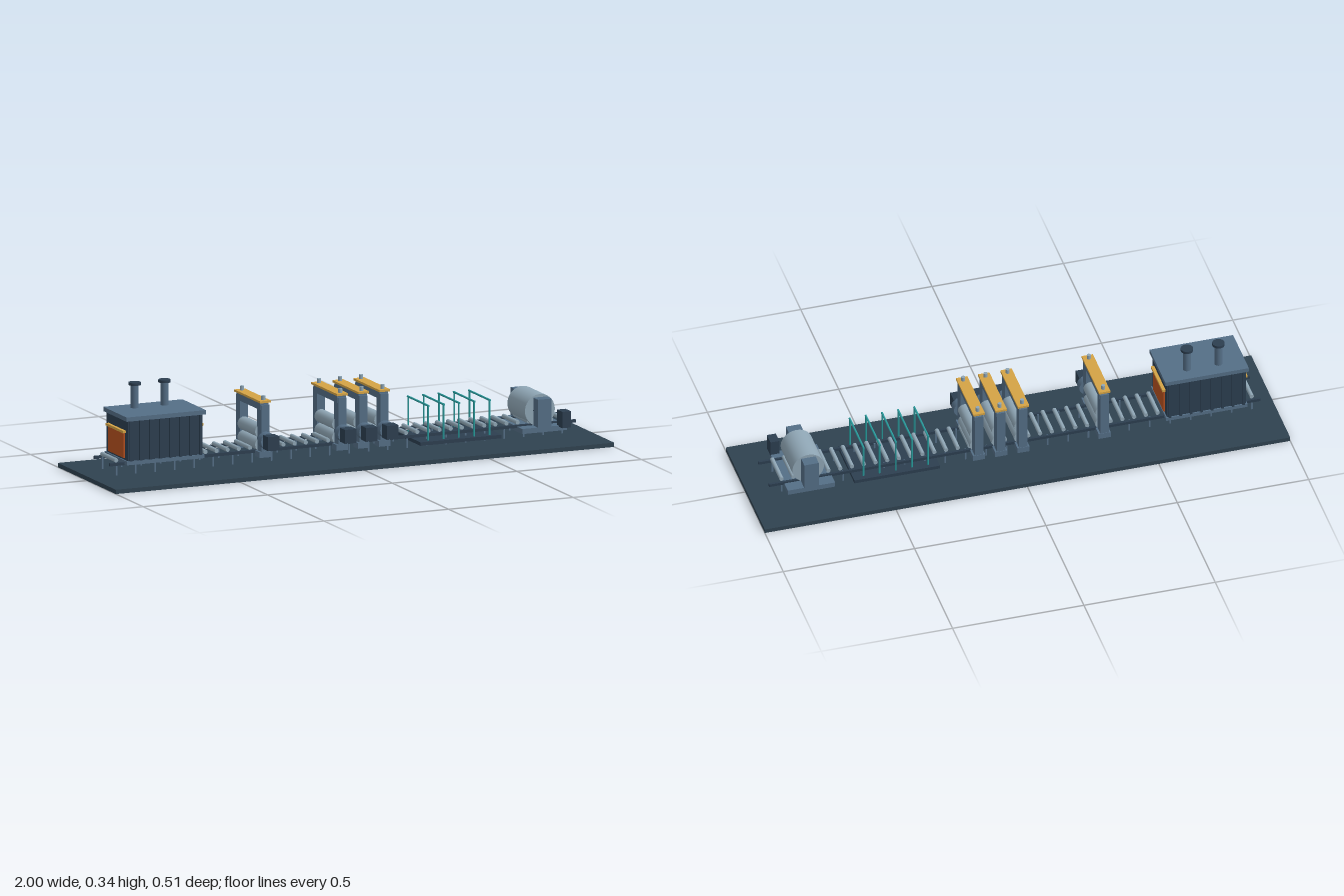
import * as THREE from 'three';

const mat = (color) => new THREE.MeshStandardMaterial({ color });

export function createModel() {
  const root = new THREE.Group();
  root.name = 'rollingMill';
  const dark = mat(0x2c3e50), slate = mat(0x546e86), steel = mat(0x8fa6b5);
  const gold = mat(0xd4a345), orange = mat(0xb5501f), teal = mat(0x2a9d9f), ground = mat(0x2f4250);

  const group = (name, x = 0) => {
    const g = new THREE.Group();
    g.name = name;
    g.position.x = x;
    root.add(g);
    return g;
  };
  // Box given by its centre in x and z and by its lower and upper y
  const box = (parent, name, material, w, d, y0, y1, x = 0, z = 0) => {
    const m = new THREE.Mesh(new THREE.BoxGeometry(w, y1 - y0, d), material);
    m.name = name;
    m.position.set(x, (y0 + y1) / 2, z);
    parent.add(m);
  };
  // Cylinder along 'y' or 'z', placed by its centre
  const cyl = (parent, name, material, r, len, axis, x, y, z, sides = 20) => {
    const g = new THREE.CylinderGeometry(r, r, len, sides);
    if (axis === 'z') g.rotateX(Math.PI / 2);
    const m = new THREE.Mesh(g, material);
    m.name = name;
    m.position.set(x, y, z);
    parent.add(m);
  };

  // Floor slab
  box(root, 'floor', ground, 2, 0.515, 0, 0.016);

  // Roller table: rails, rollers and legs along the whole line
  const table = group('rollerTable');
  for (const s of [-1, 1]) {
    box(table, 'rail', dark, 1.87, 0.009, 0.062, 0.073, -0.005, s * 0.07);
    for (let i = 0; i < 24; i++) {
      box(table, 'leg', slate, 0.006, 0.006, 0.024, 0.07, -0.91 + i * 0.0778, s * 0.062);
    }
  }
  for (let i = 0; i < 41; i++) {
    cyl(table, 'roller', steel, 0.008, 0.126, 'z', -0.91 + i * 0.04475, 0.08, 0, 12);
  }

  // Reheating furnace with ribs, doors at both ends and two chimneys
  const furnace = group('furnace', -0.728);
  box(furnace, 'furnaceBase', slate, 0.31, 0.2, 0.066, 0.08);
  box(furnace, 'furnaceBody', dark, 0.3, 0.19, 0.08, 0.232);
  box(furnace, 'roof', slate, 0.318, 0.208, 0.23, 0.246);
  for (const s of [-1, 1]) {
    for (let i = 0; i < 8; i++) {
      box(furnace, 'rib', dark, 0.009, 0.01, 0.08, 0.23, -0.14 + i * 0.04, s * 0.098);
    }
    box(furnace, 'door', orange, 0.008, 0.14, 0.088, 0.184, s * 0.152);
    box(furnace, 'lintel', gold, 0.014, 0.152, 0.182, 0.191, s * 0.155);
    cyl(furnace, 'chimney', slate, 0.015, 0.095, 'y', s * 0.06, 0.288, -0.045);
    cyl(furnace, 'chimneyCap', dark, 0.023, 0.01, 'y', s * 0.06, 0.336, -0.045);
  }

  // Mill stands: housing posts, crosshead, rolls, screws and drive
  for (const x of [-0.335, -0.026, 0.059, 0.143]) {
    const stand = group('millStand', x);
    for (const s of [-1, 1]) {
      box(stand, 'post', slate, 0.032, 0.037, 0.052, 0.246, 0, s * 0.095);
      box(stand, 'foot', slate, 0.046, 0.04, 0.05, 0.072, 0, s * 0.095);
      cyl(stand, 'screw', steel, 0.0075, 0.02, 'y', 0, 0.268, s * 0.095, 12);
    }
    box(stand, 'crosshead', slate, 0.034, 0.212, 0.227, 0.254);
    box(stand, 'cap', gold, 0.043, 0.231, 0.254, 0.262);
    for (const y of [0.092, 0.142]) {
      cyl(stand, 'roll', steel, 0.025, 0.156, 'z', 0, y, 0);
    }
    cyl(stand, 'coupling', slate, 0.031, 0.032, 'z', 0, 0.116, 0.128, 16);
    box(stand, 'motor', dark, 0.046, 0.046, 0.09, 0.142, 0, 0.165);
  }

  // Cooling section: tray and five water arches
  const cooling = group('coolingSection', 0.453);
  box(cooling, 'tray', dark, 0.325, 0.216, 0.037, 0.05);
  for (let i = -2; i <= 2; i++) {
    const x = i * 0.0615;
    cyl(cooling, 'header', teal, 0.004, 0.188, 'z', x, 0.18, 0, 8);
    for (const s of [-1, 1]) {
      cyl(cooling, 'pipe', teal, 0.0035, 0.13, 'y', x, 0.115, s * 0.088, 8);
    }
  }

  // Coiler: base, pedestals, coil on its mandrel and drive motor
  const coiler = group('coiler', 0.783);
  box(coiler, 'coilerBase', slate, 0.18, 0.241, 0.048, 0.067);
  for (const s of [-1, 1]) {
    box(coiler, 'pedestal', slate, 0.055, 0.042, 0.067, 0.171, 0, s * 0.101);
  }
  cyl(coiler, 'coil', steel, 0.06, 0.156, 'z', 0, 0.122, 0, 40);
  cyl(coiler, 'mandrel', dark, 0.027, 0.17, 'z', 0, 0.122, 0);
  box(coiler, 'coilerMotor', dark, 0.034, 0.047, 0.063, 0.124, 0.074, 0.128);

  return root;
}
